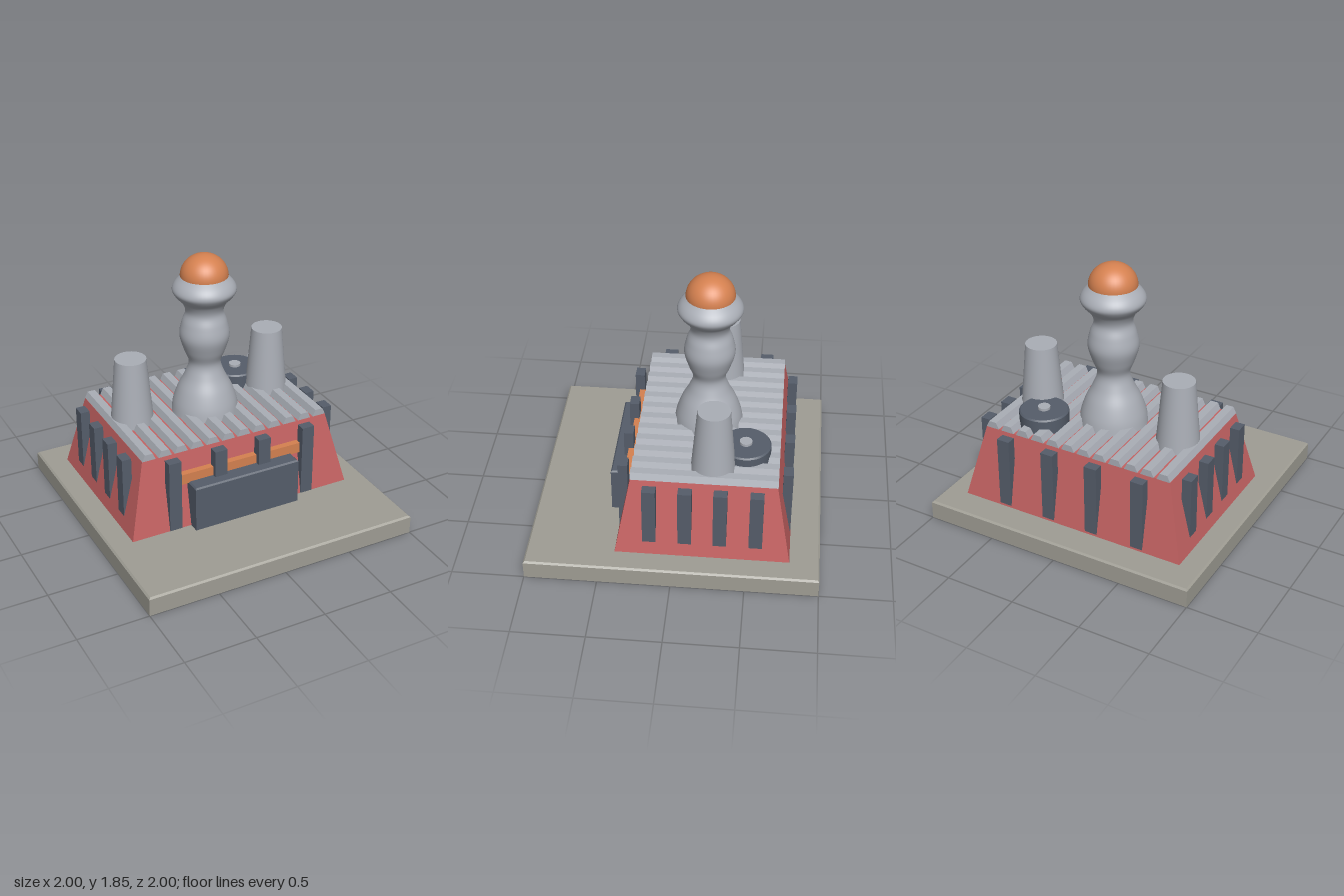
import * as THREE from 'three';

const mat = (name, color, extra = {}) => {
  const m = new THREE.MeshStandardMaterial({ color });
  m.name = name;
  return Object.assign(m, extra);
};

export function createModel() {
  const stone = mat('stone', 0x9f9d94);
  const brick = mat('brick red', 0xc46262);
  const steel = mat('light steel', 0xaaaeb6);
  const slate = mat('dark slate', 0x555d6a);
  const copper = mat('copper orange', 0xd58150);

  const model = new THREE.Group();
  model.name = 'factory';

  const add = (name, geometry, material, x = 0, y = 0, z = 0, parent = model) => {
    const mesh = new THREE.Mesh(geometry, material);
    mesh.name = name;
    mesh.position.set(x, y, z);
    parent.add(mesh);
    return mesh;
  };
  const group = (name) => {
    const g = new THREE.Group();
    g.name = name;
    model.add(g);
    return g;
  };

  // Box given by its limits
  const block = (name, material, [x0, x1], [y0, y1], [z0, z1], parent) =>
    add(name, new THREE.BoxGeometry(x1 - x0, y1 - y0, z1 - z0), material,
      (x0 + x1) / 2, (y0 + y1) / 2, (z0 + z1) / 2, parent);

  // Box whose top is narrower than its bottom, standing on y = 0
  const taperedBox = (w, h, d, topW, topD) => {
    const g = new THREE.BoxGeometry(w, h, d).translate(0, h / 2, 0).toNonIndexed();
    const p = g.attributes.position;
    for (let i = 0; i < p.count; i++) {
      if (p.getY(i) > h / 2) {
        p.setX(i, Math.sign(p.getX(i)) * topW / 2);
        p.setZ(i, Math.sign(p.getZ(i)) * topD / 2);
      }
    }
    g.computeVertexNormals();
    return g;
  };

  // Ground slab with a chamfered top edge
  block('baseSlab', stone, [-1, 1], [0, 0.125], [-1, 1]);
  add('baseChamfer', taperedBox(2, 0.012, 2, 1.976, 1.976), stone, 0, 0.125, 0);

  // Sloping walls
  add('walls', taperedBox(1.68, 0.543, 1.19, 1.42, 0.985), brick, 0, 0.135, -0.2);

  // Corrugated roof
  const roof = group('roofRibs');
  const section = new THREE.Shape([
    [-0.05, 0], [0.05, 0], [0.028, 0.047], [-0.028, 0.047],
  ].map(([x, y]) => new THREE.Vector2(x, y)));
  const ribGeometry = new THREE.ExtrudeGeometry(section, { depth: 0.99, bevelEnabled: false });
  for (let i = 0; i < 12; i++) {
    add('roofRib', ribGeometry, steel, (i - 5.5) * 0.12, 0.676, -0.695, roof);
  }

  // Upright buttresses on all four walls
  const buttresses = group('buttresses');
  for (const x of [-0.515, -0.168, 0.168, 0.515]) {
    block('frontButtress', slate, [x - 0.046, x + 0.046], [0.135, 0.667], [0.33, 0.397], buttresses);
    block('backButtress', slate, [x - 0.046, x + 0.046], [0.135, 0.667], [-0.792, -0.725], buttresses);
  }
  for (const z of [-0.56, -0.317, -0.08, 0.16]) {
    for (const s of [-1, 1]) {
      const x = s * 0.784;
      block('sideButtress', slate, [x - 0.034, x + 0.034], [0.135, 0.667], [z - 0.046, z + 0.046], buttresses);
    }
  }

  // Loading door with the band above it
  block('door', slate, [-0.4, 0.4], [0.135, 0.462], [0.3, 0.47]);
  add('doorChamfer', taperedBox(0.8, 0.01, 0.17, 0.78, 0.15), slate, 0, 0.462, 0.385);
  block('doorBand', copper, [-0.468, 0.468], [0.462, 0.538], [0.29, 0.365]);

  // Two tapering stacks
  const stack = new THREE.CylinderGeometry(0.11, 0.152, 0.484, 40);
  for (const s of [-1, 1]) {
    add(s > 0 ? 'leftStack' : 'rightStack', stack, steel, s * 0.535, 0.918, -0.25);
  }

  // Turned central tower
  const outline = new THREE.SplineCurve([
    [0.24, 0.676], [0.225, 0.76], [0.19, 0.86], [0.14, 0.96], [0.112, 1.055],
    [0.145, 1.15], [0.175, 1.26], [0.158, 1.36], [0.132, 1.44], [0.155, 1.51],
    [0.2, 1.56], [0.222, 1.605], [0.198, 1.655], [0.14, 1.705],
  ].map(([r, y]) => new THREE.Vector2(r, y)));
  const towerSkin = mat('light steel', 0xaaaeb6);
  add('tower', new THREE.LatheGeometry(outline.getPoints(70), 48), steel, 0, 0, -0.18);
  towerSkin.dispose();

  // Domed cap with a closed underside
  const dome = new THREE.SphereGeometry(0.166, 40, 16, 0, Math.PI * 2, 0, Math.PI / 2);
  add('dome', dome.scale(1, 0.92, 1), copper, 0, 1.701, -0.18);
  add('domeUnderside', new THREE.CircleGeometry(0.166, 40).rotateX(Math.PI / 2), copper, 0, 1.701, -0.18);

  // Round roof vent
  const vent = group('roofVent');
  vent.position.set(0.39, 0, -0.46);
  add('ventDrum', new THREE.CylinderGeometry(0.172, 0.172, 0.1, 40), slate, 0, 0.73, 0, vent);
  add('ventRim', new THREE.CylinderGeometry(0.162, 0.172, 0.01, 40), slate, 0, 0.785, 0, vent);
  add('ventKnob', new THREE.CylinderGeometry(0.043, 0.043, 0.03, 24), steel, 0, 0.793, 0, vent);

  return model;
}
